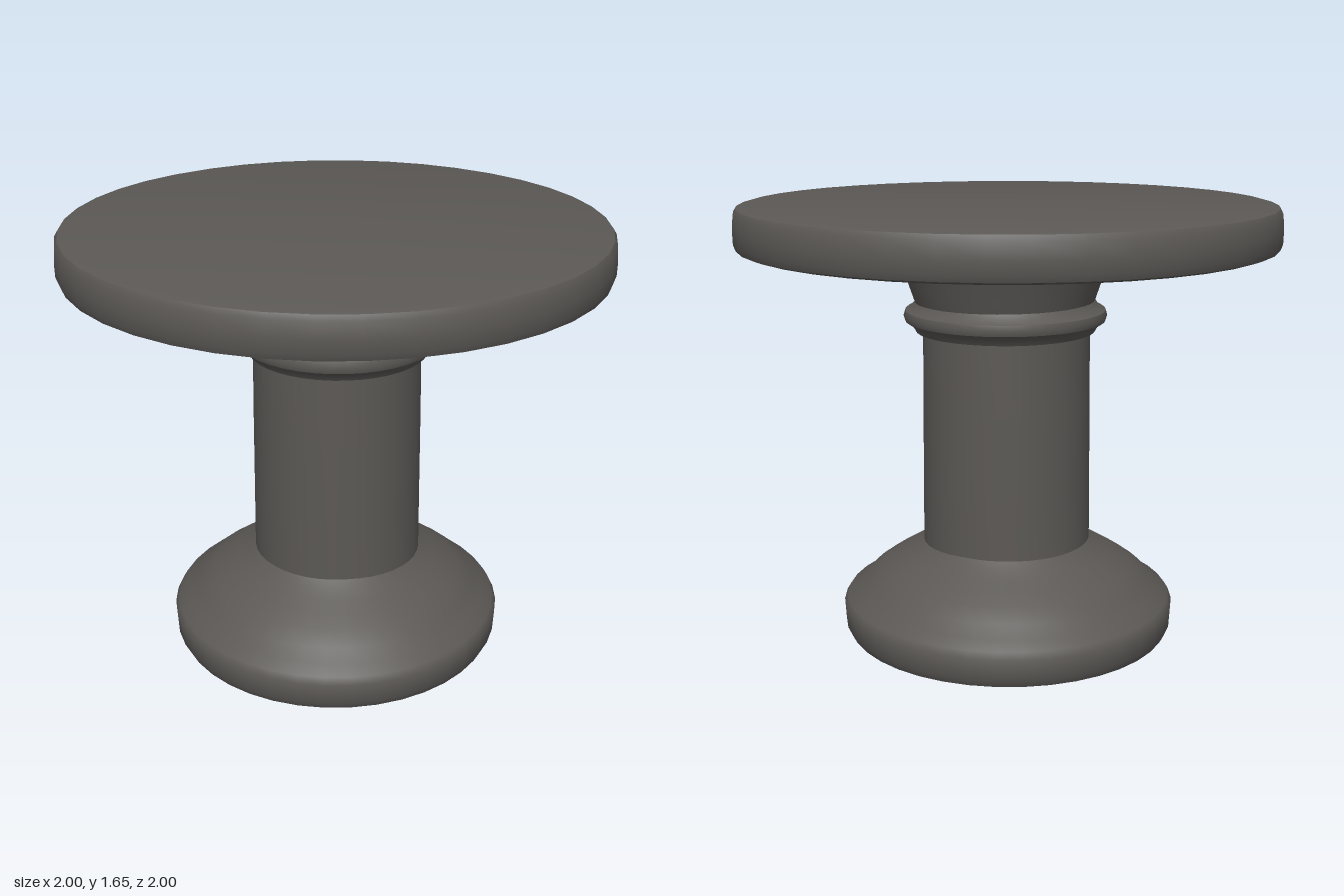
import * as THREE from 'three';
import { toCreasedNormals } from 'three/addons/utils/BufferGeometryUtils.js';

const SIDES = 40;

export function createModel() {
  const group = new THREE.Group();
  group.name = 'pedestalTable';
  const darkStone = new THREE.MeshStandardMaterial({ color: 0x5b5855 });
  darkStone.name = 'darkStone';

  // Turned part from a [radius, height] profile listed bottom to top
  function turned(name, profile, x = 0, z = 0, scaleX = 1, scaleZ = 1) {
    const points = profile.map(([r, y]) => new THREE.Vector2(r, y));
    const geometry = new THREE.LatheGeometry(points, SIDES);
    geometry.scale(scaleX, 1, scaleZ);
    const mesh = new THREE.Mesh(toCreasedNormals(geometry, 0.7), darkStone);
    mesh.name = name;
    mesh.position.set(x, 0, z);
    group.add(mesh);
  }

  // Foot: rounded disc rising in a sloping shoulder, slightly deeper than wide
  turned('base', [
    [0, 0], [0.59, 0], [0.625, 0.012], [0.64, 0.04], [0.645, 0.12],
    [0.63, 0.145], [0.585, 0.17], [0.545, 0.215], [0.49, 0.255],
    [0.44, 0.285], [0.39, 0.315], [0.345, 0.342], [0.317, 0.365],
  ], 0, 0, 0.985, 1.02);

  // Shaft
  turned('column', [
    [0.319, 0.35], [0.317, 0.6], [0.315, 0.9], [0.312, 1.18],
  ], 0.005, 0.003);

  // Raised ring
  turned('collar', [
    [0.308, 1.165], [0.335, 1.17], [0.35, 1.195], [0.374, 1.21],
    [0.38, 1.23], [0.374, 1.25], [0.348, 1.265], [0.335, 1.285], [0.325, 1.3],
  ], 0.009, 0.004);

  // Flared neck spreading into the underside
  turned('neck', [
    [0.335, 1.28], [0.352, 1.33], [0.375, 1.4], [0.387, 1.432],
    [0.42, 1.452], [0.5, 1.465], [0.64, 1.477],
  ], 0.012, 0.004);

  // Round top with a softened rim
  turned('tableTop', [
    [0.6, 1.473], [0.8, 1.478], [0.965, 1.483], [0.99, 1.492], [0.999, 1.515],
    [1, 1.56], [0.996, 1.62], [0.985, 1.638], [0.96, 1.645], [0, 1.648],
  ]);

  return group;
}
